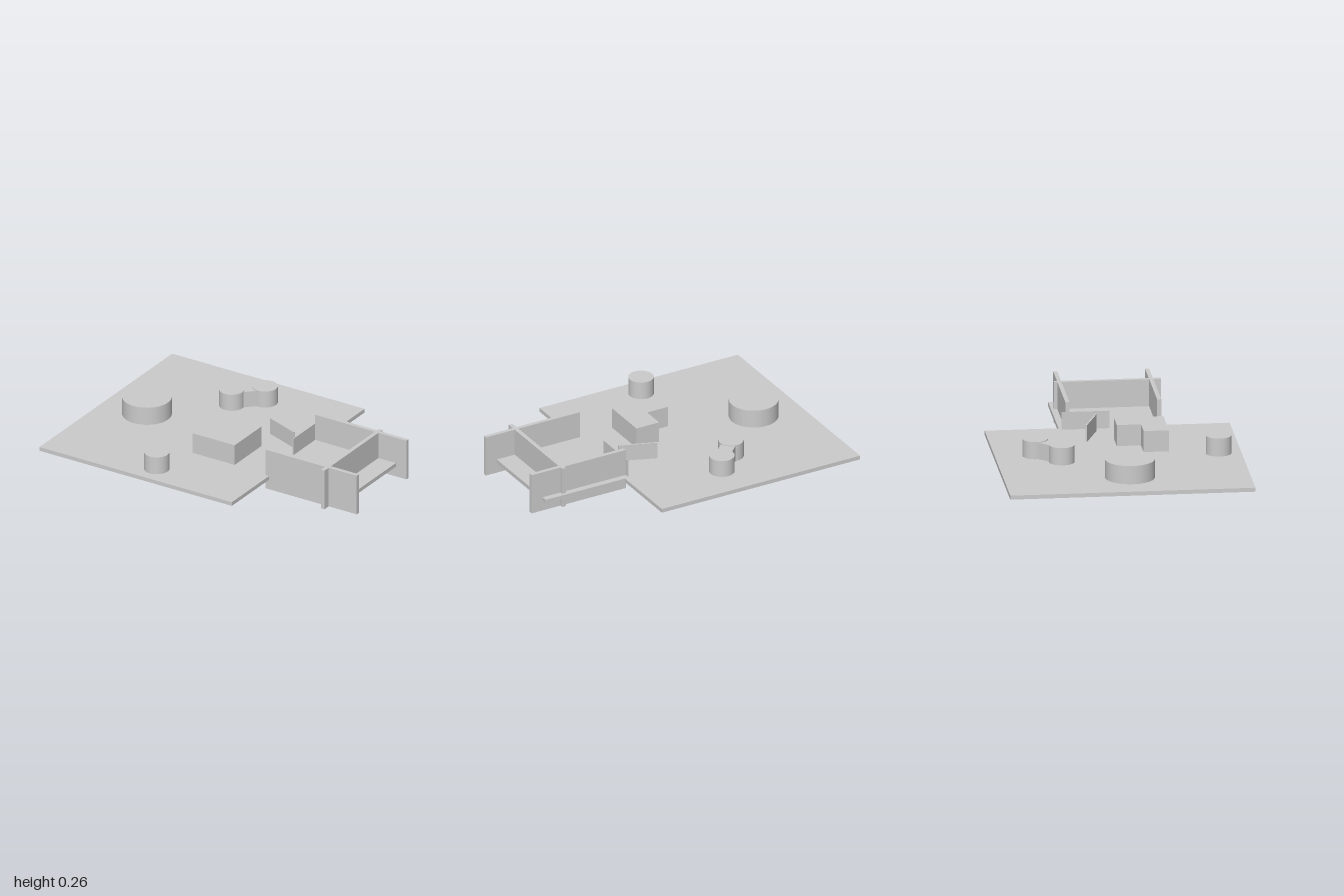
import * as THREE from 'three';

export function createModel() {
  const model = new THREE.Group();
  const material = new THREE.MeshStandardMaterial({ color: 0xcccccc });
  const deckTop = 0.09;

  const add = (name, geometry, x, y, z) => {
    const mesh = new THREE.Mesh(geometry, material);
    mesh.name = name;
    mesh.position.set(x, y, z);
    model.add(mesh);
    return mesh;
  };
  // Box given by its limits on each axis
  const box = (name, x0, x1, y0, y1, z0, z1) =>
    add(name, new THREE.BoxGeometry(x1 - x0, y1 - y0, z1 - z0),
      (x0 + x1) / 2, (y0 + y1) / 2, (z0 + z1) / 2);
  // Round block standing on the ground plate
  const drum = (name, x, z, radius, top) =>
    add(name, new THREE.CylinderGeometry(radius, radius, top - deckTop, 64),
      x, (top + deckTop) / 2, z);
  // Upright slab between two plan points
  const slab = (name, a, b, width, top) => {
    const dx = b[0] - a[0], dz = b[1] - a[1];
    const mesh = add(name, new THREE.BoxGeometry(Math.hypot(dx, dz), top - deckTop, width),
      (a[0] + b[0]) / 2, (top + deckTop) / 2, (a[1] + b[1]) / 2);
    mesh.rotation.y = -Math.atan2(dz, dx);
  };

  // Ground plate and the floor of the side bay
  box('groundPlate', -1, 0.375, 0.065, deckTop, -0.743, 0.743);
  box('bayFloor', 0.375, 0.925, 0.065, deckTop, -0.295, 0.303);

  // Round blocks
  drum('largeDrum', -0.695, 0.017, 0.15, 0.205);
  drum('smallDrum', -0.25, 0.605, 0.077, 0.203);

  // Two linked drums
  const linkA = [-0.326, -0.355], linkB = [-0.18, -0.499];
  drum('linkedDrumFront', ...linkA, 0.077, 0.198);
  drum('linkedDrumBack', ...linkB, 0.077, 0.198);
  slab('drumLink', linkA, linkB, 0.09, 0.193);

  // L-shaped block, outlined in plan and extruded upward
  const plan = [[-0.18, 0.158], [-0.037, 0.158], [-0.037, 0.012], [0.12, 0.012], [0.12, 0.312], [-0.18, 0.312]];
  const outline = new THREE.Shape(plan.map(([x, z]) => new THREE.Vector2(x, -z)));
  const lBlock = new THREE.ExtrudeGeometry(outline, { depth: 0.222 - deckTop, bevelEnabled: false });
  lBlock.rotateX(-Math.PI / 2);
  add('lBlock', lBlock, 0, deckTop, 0);

  // Thin screens
  slab('angledScreen', [0.075, -0.16], [0.298, -0.077], 0.01, 0.195);
  box('entryScreen', 0.342, 0.348, 0.067, 0.2, -0.28, 0.012);

  // Bay walls: two long sides and one crossing them
  box('bayWallBack', 0.347, 1, 0, 0.26, -0.256, -0.231);
  box('bayWallFront', 0.347, 1, 0, 0.26, 0.3, 0.325);
  box('bayCrossWall', 0.774, 0.8, 0, 0.26, -0.276, 0.373);

  return model;
}
